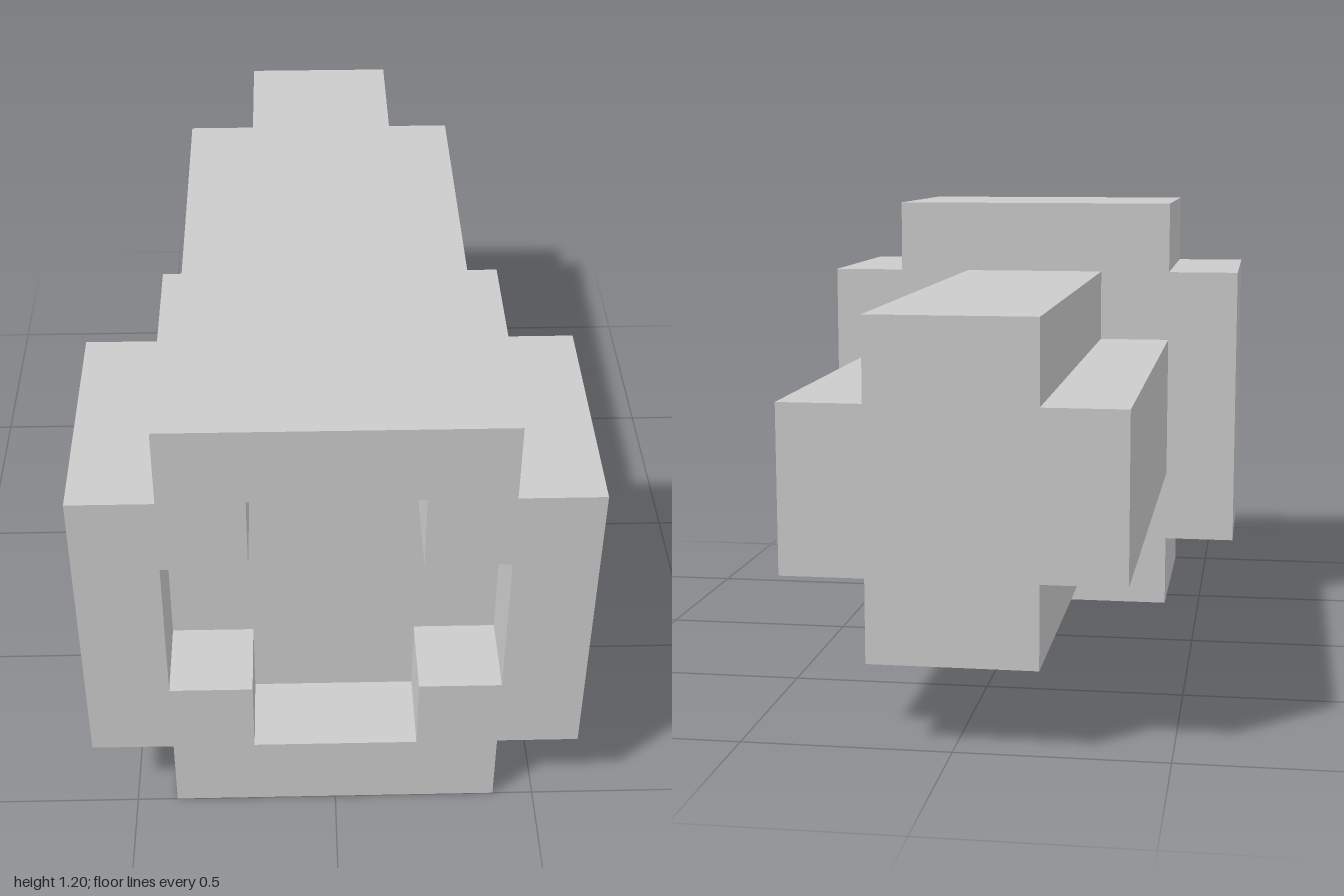
import * as THREE from 'three';

// Stepped cross outline: a rectangle of half-size (hx, hy) with square corner notches
function crossPoints(hx, hy, notch) {
  const ix = hx - notch, iy = hy - notch;
  return [
    [hx, -iy], [hx, iy], [ix, iy], [ix, hy], [-ix, hy], [-ix, iy],
    [-hx, iy], [-hx, -iy], [-ix, -iy], [-ix, -hy], [ix, -hy], [ix, -iy],
  ].map(([x, y]) => new THREE.Vector2(x, y));
}

export function createModel() {
  const group = new THREE.Group();
  const material = new THREE.MeshStandardMaterial({ color: 0xcccccc, flatShading: true });

  function addPrism(name, shape, zBack, zFront) {
    const geometry = new THREE.ExtrudeGeometry(shape, { depth: zFront - zBack, bevelEnabled: false });
    const mesh = new THREE.Mesh(geometry, material);
    mesh.name = name;
    mesh.position.set(0, 0.6, zBack);
    group.add(mesh);
  }

  const inner = crossPoints(0.4, 0.4, 0.2);

  // Head: wide stepped block with a cross-shaped opening
  const headShape = new THREE.Shape(crossPoints(0.6, 0.6, 0.2));
  headShape.holes.push(new THREE.Path(inner));
  addPrism('head', headShape, 0.4, 1);

  // Shaft: fills the opening up to the floor of the front recess
  addPrism('shaft', new THREE.Shape(inner), -1, 0.8);

  return group;
}
